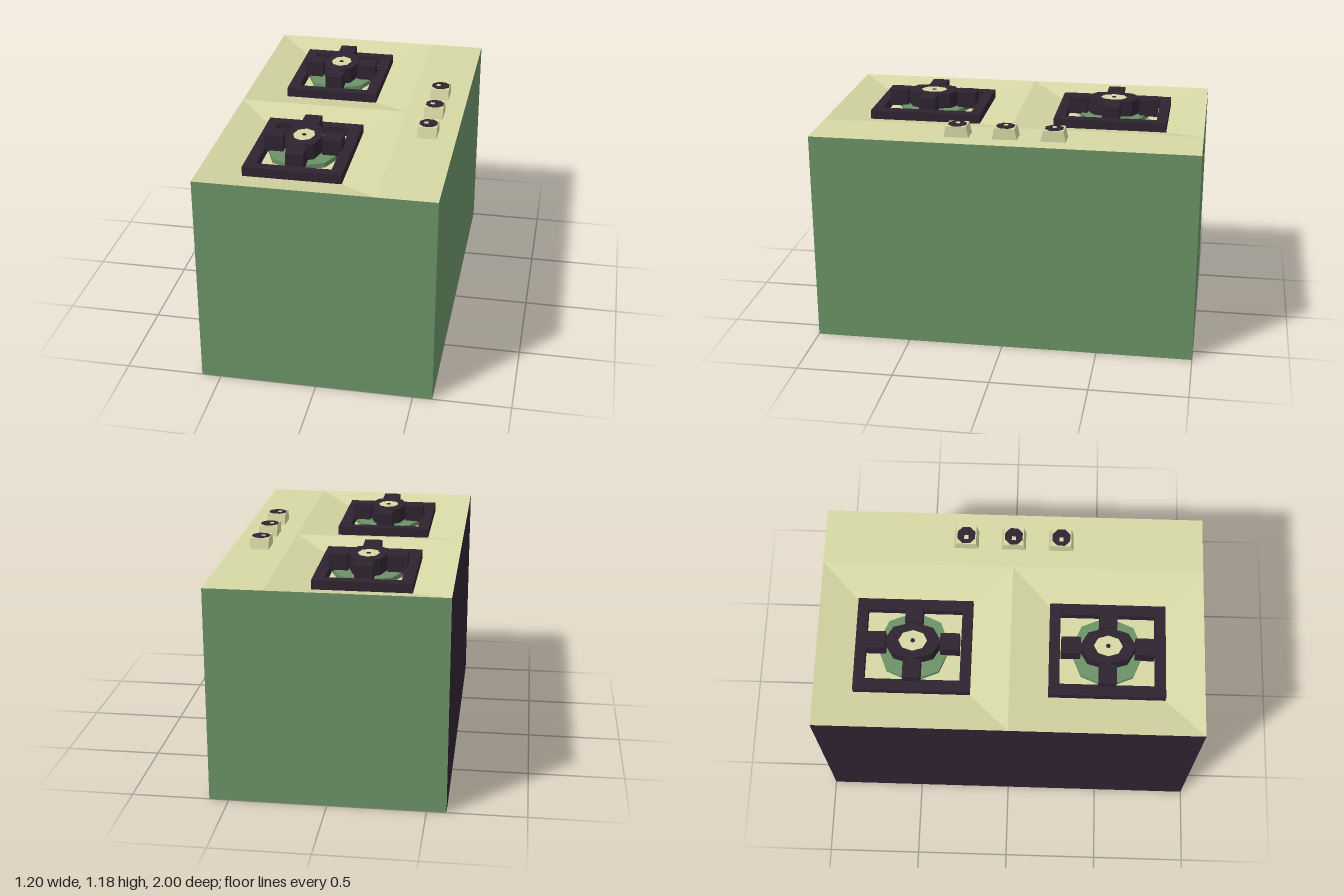
import * as THREE from 'three';

const TOP = 1.12, FLOOR = 1.07, CAP = 1.18;
const material = (name, color) => {
  const m = new THREE.MeshStandardMaterial({ color });
  m.name = name;
  return m;
};

export function createModel() {
  const green = material('green', 0x6b9266);
  const dark = material('dark plum', 0x2f2431);
  const cream = material('cream', 0xd6d8a5);

  const model = new THREE.Group();
  model.name = 'stove';

  const add = (parent, name, geometry, mat, x = 0, y = 0, z = 0) => {
    const mesh = new THREE.Mesh(geometry, mat);
    mesh.name = name;
    mesh.position.set(x, y, z);
    parent.add(mesh);
    return mesh;
  };
  const block = (parent, name, w, h, d, mat, x, y, z) =>
    add(parent, name, new THREE.BoxGeometry(w, h, d), mat, x, y, z);

  // Flat-shaded surface from four-cornered faces, corners counter-clockwise
  const quads = (faces) => {
    const p = [];
    for (const [a, b, c, d] of faces) p.push(...a, ...b, ...c, ...a, ...c, ...d);
    const g = new THREE.BufferGeometry();
    g.setAttribute('position', new THREE.Float32BufferAttribute(p, 3));
    g.computeVertexNormals();
    return g;
  };

  // Flat ring or frame extruded upwards
  const upright = (outer, hole, height) => {
    outer.holes.push(hole);
    return new THREE.ExtrudeGeometry(outer, { depth: height, bevelEnabled: false, curveSegments: 1 })
      .rotateX(-Math.PI / 2);
  };
  const rect = (C, w, d) => new C([[-1, -1], [1, -1], [1, 1], [-1, 1]]
    .map(([x, y]) => new THREE.Vector2(x * w / 2, y * d / 2)));
  const oval = (C, rx, ry, n = 8) => new C(Array.from({ length: n }, (_, i) => {
    const a = (i / n) * Math.PI * 2;
    return new THREE.Vector2(rx * Math.cos(a), ry * Math.sin(a));
  }));

  // Cabinet, open at the top: one long side and the base are dark
  const box = new THREE.BoxGeometry(1.2, TOP, 2);
  box.clearGroups();
  [0, 1, null, 1, 0, 0].forEach((m, i) => m !== null && box.addGroup(i * 6, 6, m));
  add(model, 'cabinet', box, [green, dark], 0, TOP / 2, 0);

  // Flat strip that carries the knobs
  add(model, 'controlStrip', quads([[[0.3, TOP, 1], [0.6, TOP, 1], [0.6, TOP, -1], [0.3, TOP, -1]]]), cream);

  for (const z of [-0.5, 0.5]) {
    const burner = new THREE.Group();
    burner.name = z > 0 ? 'frontBurner' : 'backBurner';
    burner.position.set(-0.15, 0, z);
    model.add(burner);

    // Sunken pan: four slopes and a floor
    const corners = [[-1, 1], [1, 1], [1, -1], [-1, -1]];
    const rim = corners.map(([a, b]) => [a * 0.45, TOP, b * 0.5]);
    const low = corners.map(([a, b]) => [a * 0.25, FLOOR, b * 0.3]);
    const slopes = rim.map((r, i) => [r, rim[(i + 1) % 4], low[(i + 1) % 4], low[i]]);
    add(burner, 'pan', quads([...slopes, low]), cream);

    // Grate frame, eight-sided dish, oval ring and hub
    add(burner, 'grateFrame',
      upright(rect(THREE.Shape, 0.5, 0.6), rect(THREE.Path, 0.38, 0.49), TOP - FLOOR - 0.002),
      dark, 0, FLOOR, 0);
    add(burner, 'dish', new THREE.ExtrudeGeometry(oval(THREE.Shape, 0.19, 0.19),
      { depth: 0.025, bevelEnabled: false }).rotateX(-Math.PI / 2), green, 0, FLOOR, 0);
    add(burner, 'grateRing',
      upright(oval(THREE.Shape, 0.1, 0.145), oval(THREE.Path, 0.057, 0.074), 0.09),
      dark, 0, CAP - 0.09, 0);
    add(burner, 'hub', new THREE.ExtrudeGeometry(oval(THREE.Shape, 0.057, 0.074),
      { depth: 0.088, bevelEnabled: false }).rotateX(-Math.PI / 2), cream, 0, FLOOR + 0.02, 0);
    add(burner, 'hubDot', new THREE.CylinderGeometry(0.012, 0.012, 0.004, 8), dark, 0, CAP - 0.002, 0);

    // Pot supports
    for (const s of [-1, 1]) {
      block(burner, 'sideSupport', 0.1, 0.09, 0.09, dark, s * 0.15, CAP - 0.045, 0);
      block(burner, 'endSupport', 0.09, 0.09, 0.1, dark, 0, CAP - 0.045, s * 0.19);
    }
  }

  // Knobs: tapered along z, with a dark cap and a pale pointer mark
  for (const z of [-0.25, 0, 0.25]) {
    const knob = new THREE.Group();
    knob.name = 'knob';
    knob.position.set(0.45, TOP, z);
    model.add(knob);
    const g = new THREE.BoxGeometry(0.1, 0.058, 0.13).translate(0, 0.029, 0);
    const p = g.attributes.position;
    for (let i = 0; i < p.count; i++) if (p.getY(i) > 0.01) p.setZ(i, p.getZ(i) * 0.8);
    g.computeVertexNormals();
    add(knob, 'knobBody', g, cream);
    add(knob, 'knobCap', new THREE.CylinderGeometry(0.05, 0.05, 0.002, 8).rotateY(Math.PI / 8),
      dark, 0, 0.059, 0);
    block(knob, 'knobMark', 0.022, 0.002, 0.022, cream, -0.012, 0.0605, 0);
  }

  return model;
}
